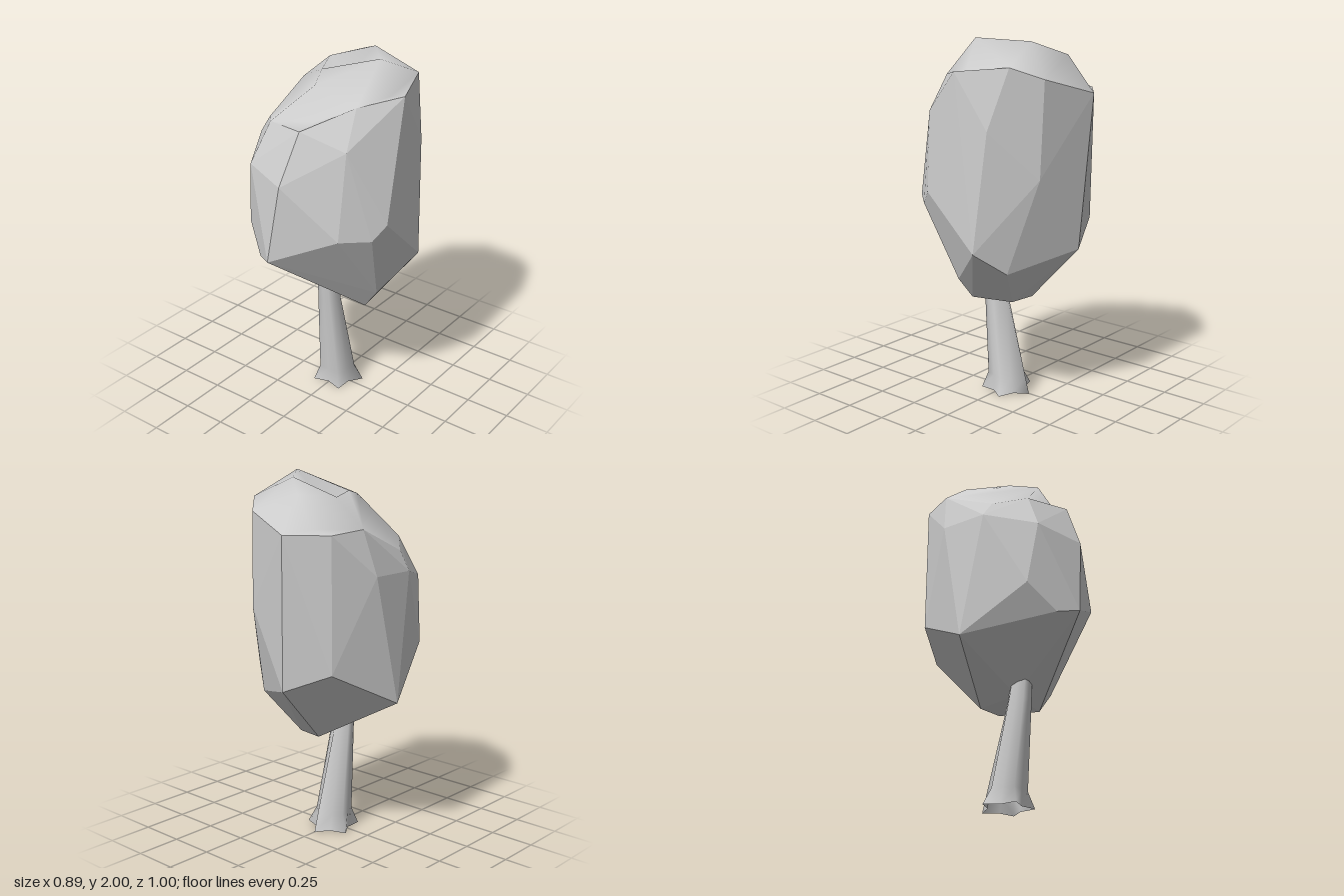
import * as THREE from 'three';
import { ConvexGeometry } from 'three/addons/geometries/ConvexGeometry.js';

// indexed geometry from points and triangles, with smooth normals
function surface(points, index) {
  const g = new THREE.BufferGeometry();
  g.setAttribute('position', new THREE.Float32BufferAttribute(points.flat(), 3));
  g.setIndex(index);
  g.computeVertexNormals();
  return g;
}

// rim of the crown wall, counter-clockwise seen from above (points 0 to 9)
const rim = [
  [-0.36, 1.74, -0.18], [-0.35, 1.6, 0.13], [-0.22, 1.65, 0.28], [0.04, 1.68, 0.37],
  [0.26, 1.8, 0.19], [0.42, 1.84, 0], [0.32, 1.87, -0.28], [0.2, 1.81, -0.41],
  [-0.1, 1.72, -0.5], [-0.3, 1.72, -0.35],
];

// corners of the faceted wall below the rim
const wall = [
  [-0.42, 1.5, 0.12], [-0.42, 1.5, -0.14], [-0.28, 1.43, 0.38], [-0.01, 1.4, 0.48],
  [0.28, 1.6, 0.3], [0.4, 1.55, -0.2], [-0.45, 0.81, 0], [-0.33, 1.07, 0.34],
  [-0.19, 0.93, 0.43], [-0.08, 0.96, 0.505], [0.28, 1.13, 0.37], [0.4, 1.12, 0.24],
  [0.445, 1.2, 0.17], [0.445, 0.91, -0.14], [0.3, 0.79, -0.25], [0.32, 0.71, 0.07],
  [0.23, 0.59, 0.05], [0, 0.61, 0.05], [-0.03, 0.57, -0.16], [0.12, 0.57, -0.14],
  [-0.05, 0.89, -0.455], [-0.3, 1.0, -0.35], [0.22, 1.3, -0.4],
];

function wallGeometry() {
  const hull = new ConvexGeometry([...rim, ...wall].map(p => new THREE.Vector3(...p)));
  const pos = hull.getAttribute('position');
  const key = (x, y, z) => [x, y, z].map(v => v.toFixed(3)).join();
  const rimKeys = new Set(rim.map(p => key(...p)));
  const kept = [];
  // leave the top open: drop faces that only touch the rim
  for (let i = 0; i < pos.count; i += 3) {
    const ids = [i, i + 1, i + 2];
    if (ids.every(j => rimKeys.has(key(pos.getX(j), pos.getY(j), pos.getZ(j))))) continue;
    for (const j of ids) kept.push(pos.getX(j), pos.getY(j), pos.getZ(j));
  }
  const g = new THREE.BufferGeometry();
  g.setAttribute('position', new THREE.Float32BufferAttribute(kept, 3));
  g.computeVertexNormals();
  return g;
}

// crumpled, smooth-shaded top with hollows around a dented cap
function topGeometry() {
  const points = [
    ...rim,
    // 10 to 13: cap edge at front, peak, back and far back
    [0.01, 1.87, 0.2], [0.26, 2, -0.01], [0.08, 1.98, -0.23], [-0.07, 1.91, -0.355],
    // 14 to 16: left and front of the dent, and its floor
    [-0.18, 1.89, -0.18], [-0.06, 1.9, 0.05], [0, 1.83, -0.08],
    // 17 to 19: floors of the front, side and back hollows
    [0.02, 1.68, 0.22], [0.33, 1.82, 0], [-0.17, 1.74, -0.35],
  ];
  const faces = [
    [0, 1, 10], [1, 2, 10],
    [2, 3, 17], [3, 4, 17], [4, 10, 17], [10, 2, 17],
    [4, 11, 10], [4, 5, 18], [5, 6, 18], [6, 11, 18], [11, 4, 18],
    [6, 7, 12], [6, 12, 11], [7, 13, 12], [7, 8, 13],
    [8, 9, 19], [9, 0, 19], [0, 13, 19], [13, 8, 19],
    [0, 10, 15], [0, 15, 14], [0, 14, 13], [10, 11, 15], [12, 13, 14],
    [11, 12, 16], [12, 14, 16], [14, 15, 16], [15, 11, 16],
  ];
  return surface(points, faces.flat());
}

// leaning trunk with five root lobes, the back one running up as a ridge
function trunkGeometry() {
  // y, centre z, lobe radius, valley radius, back lobe radius
  const rings = [
    [0, -0.015, 0.15, 0.095, 0.15],
    [0.09, -0.005, 0.105, 0.088, 0.135],
    [0.58, 0.07, 0.066, 0.058, 0.066],
    [0.75, 0.09, 0.055, 0.05, 0.055],
  ];
  const n = 10, points = [], index = [];
  for (const [y, cz, lobe, valley, back] of rings) {
    for (let i = 0; i < n; i++) {
      const a = Math.PI + i * Math.PI * 2 / n;
      const r = i === 0 ? back : i % 2 ? valley : lobe;
      points.push([Math.sin(a) * r, y, cz + Math.cos(a) * r]);
    }
  }
  for (let k = 0; k < rings.length - 1; k++) {
    for (let i = 0; i < n; i++) {
      const a = k * n + i, b = k * n + (i + 1) % n;
      index.push(a, b, b + n, a, b + n, a + n);
    }
  }
  return surface(points, index);
}

export function createModel() {
  const grey = new THREE.MeshStandardMaterial({ color: 0xcccccc, side: THREE.DoubleSide });
  grey.name = 'grey';

  const model = new THREE.Group();
  model.name = 'tree';
  const crown = new THREE.Group();
  crown.name = 'crown';
  model.add(crown);

  const add = (parent, name, geometry) => {
    const mesh = new THREE.Mesh(geometry, grey);
    mesh.name = name;
    parent.add(mesh);
  };
  add(crown, 'crownWall', wallGeometry());
  add(crown, 'crownTop', topGeometry());
  add(model, 'trunk', trunkGeometry());
  return model;
}
